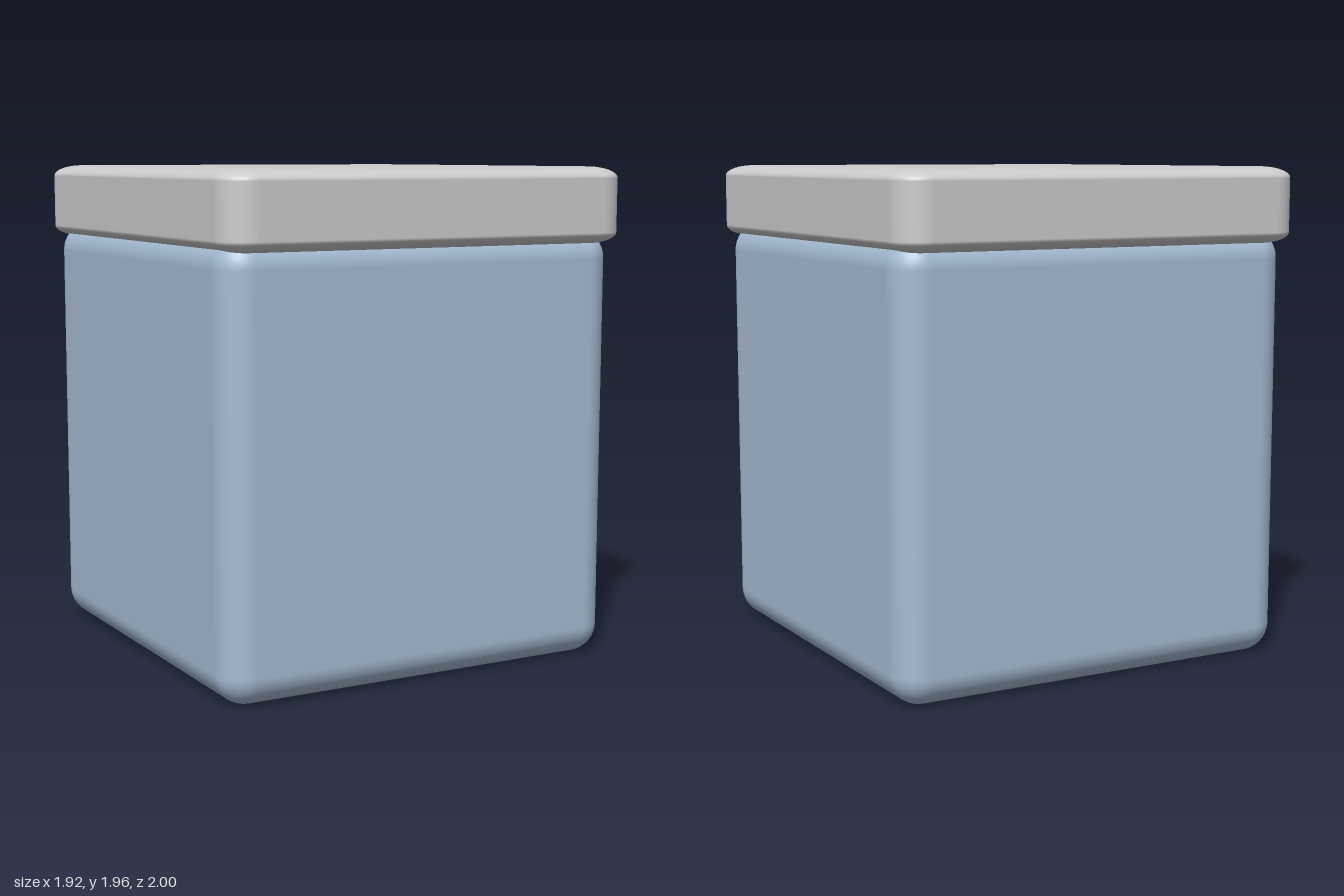
import * as THREE from 'three';
import { RoundedBoxGeometry } from 'three/addons/geometries/RoundedBoxGeometry.js';

// Rounded box from y0 to y1: plan corners use radius r, top and bottom edges use radius ry
function softBox(name, width, depth, y0, y1, r, ry, color) {
  const squash = ry / r;
  const geometry = new RoundedBoxGeometry(width, (y1 - y0) / squash, depth, 8, r);
  geometry.scale(1, squash, 1);
  geometry.translate(0, (y0 + y1) / 2, 0);
  const mesh = new THREE.Mesh(geometry, new THREE.MeshStandardMaterial({ color }));
  mesh.name = name;
  return mesh;
}

export function createModel() {
  const group = new THREE.Group();
  group.name = 'liddedBox';

  // Box body, its rounded top edge tucked inside the lid
  group.add(softBox('boxBody', 1.7, 1.7, 0, 1.72, 0.12, 0.12, 0xa5bcd3));

  // Overhanging lid, a little longer from front to back
  group.add(softBox('lid', 1.73, 1.82, 1.66, 1.96, 0.12, 0.045, 0xcccccc));

  // The whole box stands slightly turned
  group.rotation.y = THREE.MathUtils.degToRad(-7.4);
  return group;
}
